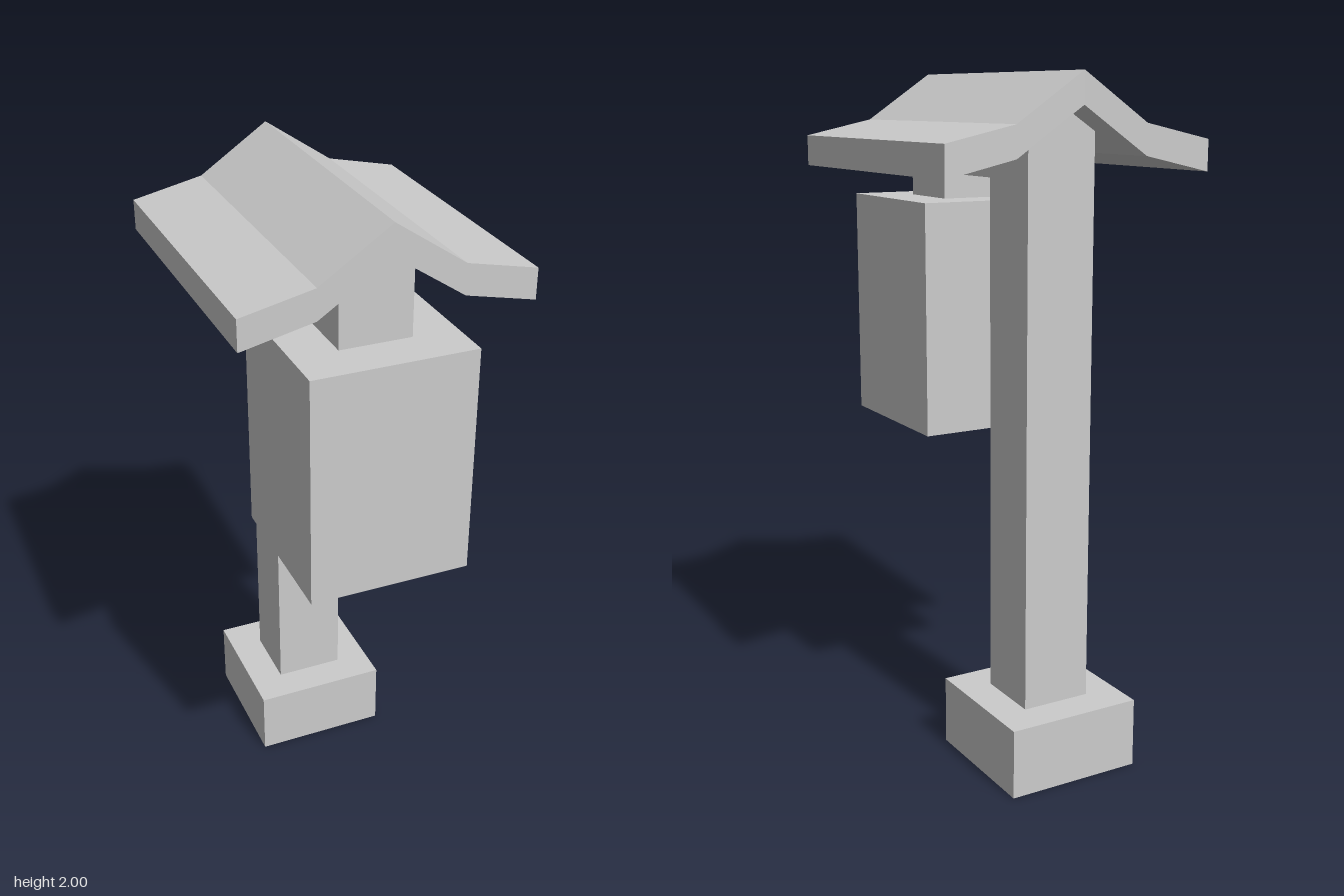
import * as THREE from 'three';

const material = new THREE.MeshStandardMaterial({ color: 0xcccccc, flatShading: true });

function add(group, name, geometry) {
  const mesh = new THREE.Mesh(geometry, material);
  mesh.name = name;
  group.add(mesh);
}

// Box spanning the given limits, centred on x = 0
function block(halfWidth, y0, y1, z0, z1) {
  return new THREE.BoxGeometry(halfWidth * 2, y1 - y0, z1 - z0)
    .translate(0, (y0 + y1) / 2, (z0 + z1) / 2);
}

// Front outline extruded from z0 to z1
function prism(points, z0, z1) {
  const shape = new THREE.Shape(points.map(([x, y]) => new THREE.Vector2(x, y)));
  return new THREE.ExtrudeGeometry(shape, { depth: z1 - z0, bevelEnabled: false })
    .translate(0, 0, z0);
}

// Timber whose top is cut to fit the underside of the roof
function timber(bottom, z0, z1) {
  const w = 0.105;
  return prism([[-w, bottom], [w, bottom], [w, 1.842], [0, 1.91], [-w, 1.842]], z0, z1);
}

export function createModel() {
  const model = new THREE.Group();
  model.name = 'roofedLanternPost';

  // Foot, upright, overhanging arm and hanging lantern
  add(model, 'base', block(0.205, 0, 0.205, -0.46, -0.05));
  add(model, 'post', timber(0.205, -0.355, -0.152));
  add(model, 'arm', timber(1.715, -0.152, 0.12));
  add(model, 'hanger', timber(1.64, 0.12, 0.33));
  add(model, 'lantern', block(0.237, 0.962, 1.64, -0.012, 0.46));

  // Gabled roof with flared eaves
  const top = [[0.408, 1.82], [0.202, 1.865], [0, 2]];
  const underside = [[0, 1.912], [0.202, 1.778], [0.408, 1.732]];
  const mirror = ([x, y]) => [-x, y];
  const outline = [
    ...top,
    ...top.slice(0, 2).reverse().map(mirror),
    ...underside.slice(1).reverse().map(mirror),
    ...underside,
  ];
  add(model, 'roof', prism(outline, -0.46, 0.425));

  return model;
}
